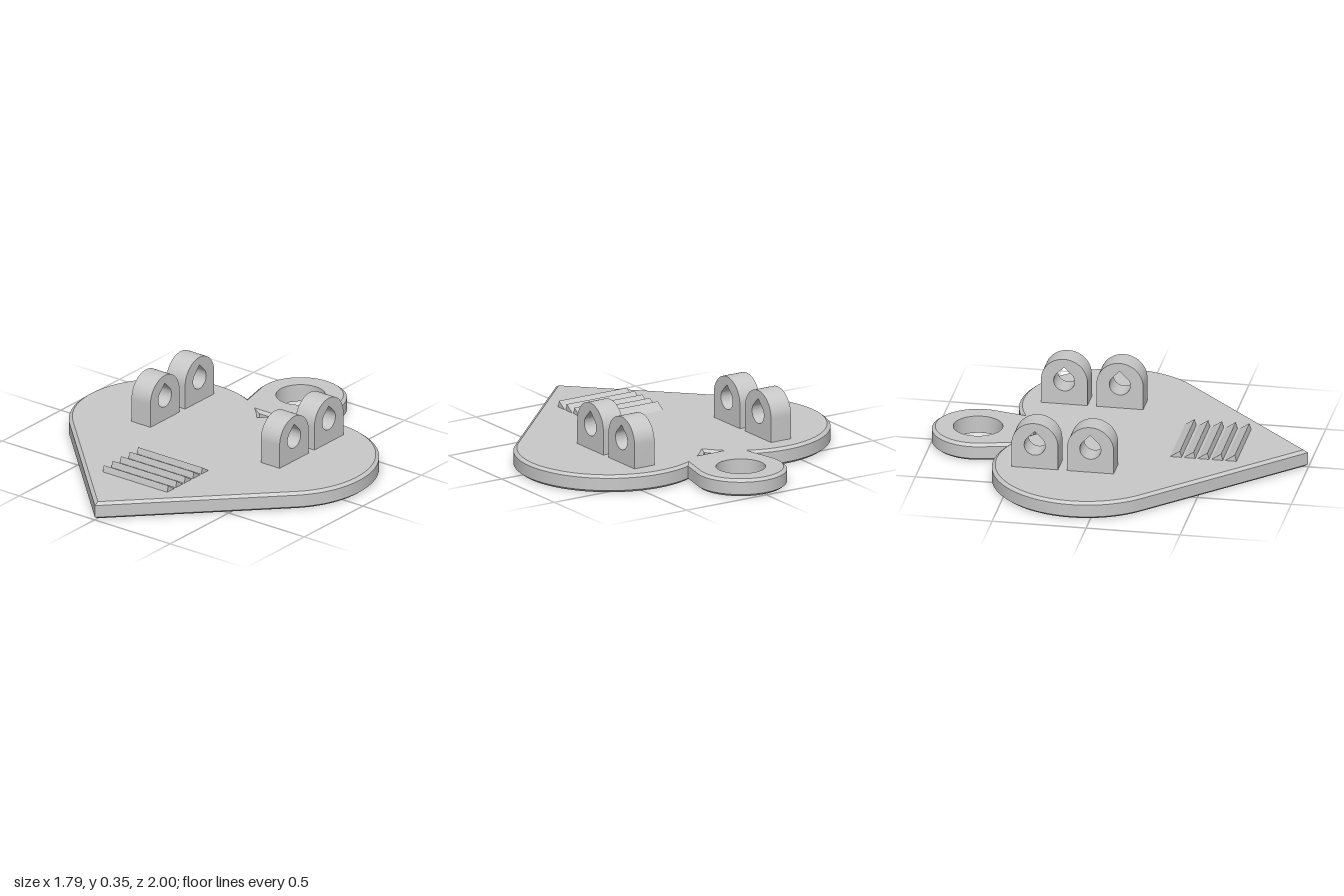
import * as THREE from 'three';
import { toCreasedNormals } from 'three/addons/utils/BufferGeometryUtils.js';

const THICK = 0.095, BEVEL = 0.018, BEVEL_H = 0.014;
const LOBE = { x: 0.395, y: 0.104, r: 0.5 };
const EYE = { y: 0.758, r: 0.242, hole: 0.13 };

// Chamfered slab lying on y = 0, from a shape drawn with its y pointing to -z
function slab(shape) {
  return new THREE.ExtrudeGeometry(shape, {
    depth: THICK - 2 * BEVEL_H, bevelEnabled: true, bevelThickness: BEVEL_H, bevelSize: BEVEL,
    bevelOffset: -BEVEL, bevelSegments: 1, curveSegments: 64,
  }).translate(0, 0, BEVEL_H).rotateX(-Math.PI / 2);
}

// Plain extrusion across x, from a shape drawn with its x pointing to -z
function across(shape, width) {
  return new THREE.ExtrudeGeometry(shape, { depth: width, bevelEnabled: false, curveSegments: 32 })
    .translate(0, 0, -width / 2).rotateY(Math.PI / 2);
}

// Two round lobes running tangentially into a right-angled point
function heartShape() {
  const { x, y, r } = LOBE, cusp = Math.acos(x / r);
  const s = new THREE.Shape();
  s.absarc(x, y, r, -Math.PI / 4, Math.PI - cusp, false);
  s.absarc(-x, y, r, cusp, Math.PI * 1.25, false);
  s.lineTo(0, y - r * Math.SQRT2 - x);
  s.closePath();
  return s;
}

// Ring with a neck that narrows towards the heart
function tabShape() {
  const s = new THREE.Shape();
  s.moveTo(-0.18, 0.46);
  s.lineTo(0.18, 0.46);
  s.absarc(0, EYE.y, EYE.r, -0.23, Math.PI + 0.23, false);
  s.closePath();
  s.holes.push(new THREE.Path().absarc(0, EYE.y, EYE.hole, 0, Math.PI * 2, true));
  return s;
}

// Arched lug with a teardrop bore
function lugShape() {
  const cy = 0.225, r = 0.124, b = 0.056;
  const s = new THREE.Shape();
  s.moveTo(-r, 0.08);
  s.lineTo(r, 0.08);
  s.absarc(0, cy, r, 0, Math.PI, false);
  s.closePath();
  const bore = new THREE.Path();
  bore.absarc(0, cy, b, Math.PI / 4, Math.PI * 0.75, true);
  bore.lineTo(0, cy + b * Math.SQRT2);
  bore.closePath();
  s.holes.push(bore);
  return s;
}

export function createModel() {
  const group = new THREE.Group();
  const grey = new THREE.MeshStandardMaterial({ color: 0xc8c8c8 });
  grey.name = 'plain grey';
  const add = (name, geometry, x = 0, z = 0) => {
    const mesh = new THREE.Mesh(geometry, grey);
    mesh.name = name;
    mesh.position.set(x, 0, z);
    group.add(mesh);
  };

  add('heartPlate', toCreasedNormals(slab(heartShape()), 0.4));

  // Hanging tab: the eye stays a straight bore, only the outside is chamfered
  const tab = slab(tabShape());
  const p = tab.attributes.position;
  for (let i = 0; i < p.count; i++) {
    const dx = p.getX(i), dz = p.getZ(i) + EYE.y, d = Math.hypot(dx, dz);
    if (d < EYE.hole + BEVEL * 1.5) {
      p.setX(i, dx / d * EYE.hole);
      p.setZ(i, dz / d * EYE.hole - EYE.y);
    }
  }
  add('hangingTab', toCreasedNormals(tab, 0.4));

  // Two pairs of lugs
  const lug = toCreasedNormals(across(lugShape(), 0.125), 0.4);
  for (const side of [1, -1]) {
    for (const z of [-0.071, -0.367]) add(side > 0 ? 'leftLug' : 'rightLug', lug, side * 0.428, z);
  }

  // Sawtooth grip ridges, steep towards the front
  const tooth = new THREE.Shape([[-0.006, 0.09], [0.064, 0.09], [0.004, 0.13]]
    .map(([x, y]) => new THREE.Vector2(x, y)));
  const ridge = across(tooth, 0.426);
  for (let i = 0; i < 5; i++) add('gripRidge', ridge, 0, 0.359 + i * 0.073);

  return group;
}
